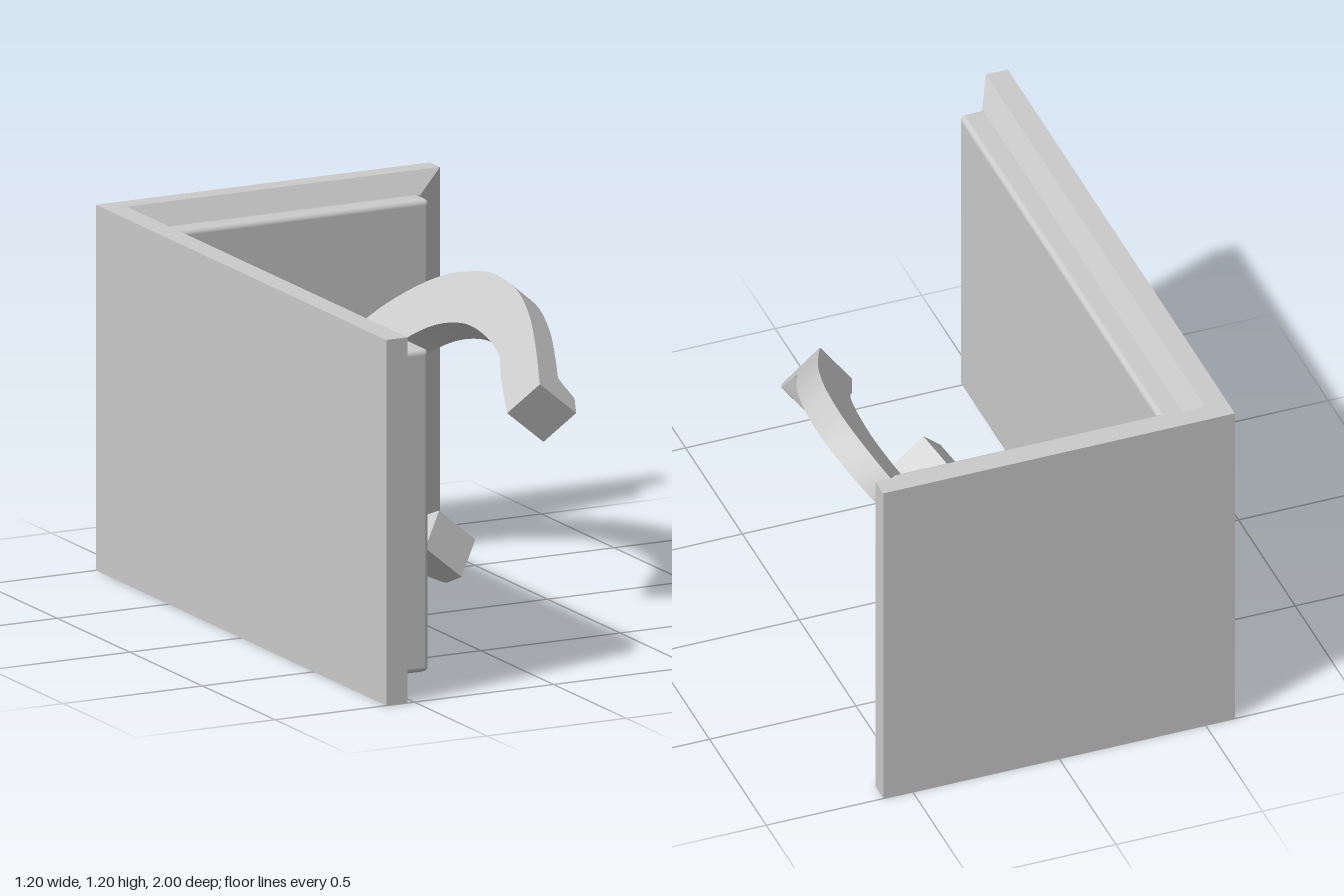
import * as THREE from 'three';
import { toCreasedNormals } from 'three/addons/utils/BufferGeometryUtils.js';
import { RoundedBoxGeometry } from 'three/addons/geometries/RoundedBoxGeometry.js';
import { ConvexGeometry } from 'three/addons/geometries/ConvexGeometry.js';

const grey = new THREE.MeshStandardMaterial({ color: 0xcccccc });

function add(parent, name, geometry) {
  const mesh = new THREE.Mesh(geometry, grey);
  mesh.name = name;
  parent.add(mesh);
  return mesh;
}

// Slab with a bevelled rim; place(a, y, d) maps length, height and depth to space
function bevelledSlab(a0, a1, a1In, depth, bevelDepth, place) {
  const points = [];
  for (const d of [0, depth]) {
    for (const a of [a0, a1]) for (const y of [0, 1.2]) points.push(place(a, y, d));
  }
  for (const a of [a0, a1In]) for (const y of [0.07, 1.13]) points.push(place(a, y, bevelDepth));
  return new ConvexGeometry(points);
}

// Raised panel with soft edges, given by its min and max corners
function panel(parent, name, min, max) {
  const size = max.map((v, i) => v - min[i]);
  const mesh = add(parent, name, new RoundedBoxGeometry(...size, 4, 0.018));
  mesh.position.set(...max.map((v, i) => (v + min[i]) / 2));
}

// Half outlines from toe to heel, mirrored into full curves
function outline(half) {
  const mirrored = half.slice(1).reverse().map(([x, z]) => [-x, z]);
  return new THREE.SplineCurve([...mirrored, ...half].map(([x, z]) => new THREE.Vector2(x, z)));
}

function horseshoeGeometry() {
  const outer = outline([[0, -0.885], [0.27, -0.82], [0.48, -0.62], [0.575, -0.38],
    [0.572, -0.17], [0.518, 0], [0.435, 0.15], [0.32, 0.325]]);
  const inner = outline([[0, -0.65], [0.19, -0.6], [0.33, -0.47], [0.392, -0.31],
    [0.39, -0.15], [0.352, 0], [0.285, 0.1], [0.19, 0.26]]);

  // Stations along the shoe, closer together near the heels
  const half = [];
  for (let i = 1; i <= 60; i++) half.push(i / 10);
  for (let i = 1; i <= 30; i++) half.push(6 + i / 30);
  const stations = [...half.map((q) => -q).reverse(), 0, ...half];

  // Groove profile on the underside: position across, share of the depth
  const groove = [[0.7, 0], [0.66, 0.55], [0.59, 0.92], [0.5, 1], [0.41, 0.92], [0.34, 0.55], [0.3, 0]];
  const positions = [];
  let count = 0;
  for (const station of stations) {
    const q = Math.abs(station);
    const t = (station + 7) / 14;
    const o = outer.getPoint(t);
    const p = inner.getPoint(t);
    const h = 0.096 + 0.074 * THREE.MathUtils.smoothstep(q, 6.4, 6.62);  // heel cleat
    const g = 0.035 * (1 - THREE.MathUtils.smoothstep(q, 6.22, 6.38));   // groove fades out
    const section = [[0, 0], [1, 0], [1, h], ...groove.map(([s, k]) => [s, h - g * k]), [0, h]];
    count = section.length;
    for (const [s, n] of section) {
      const x = p.x + (o.x - p.x) * s;
      let z = p.y + (o.y - p.y) * s;
      // The toe slopes inward toward the underside
      if (z < -0.27) z = -0.27 + (z + 0.27) * (1 - 0.187 * s * n / 0.096);
      positions.push(x, -n, z);
    }
  }

  const index = [];
  for (let i = 0; i < stations.length - 1; i++) {
    for (let j = 0; j < count; j++) {
      const k = (j + 1) % count;
      const a = i * count + j, b = i * count + k;
      index.push(a, a + count, b, b, a + count, b + count);
    }
  }
  // Heel ends
  const last = (stations.length - 1) * count;
  for (let j = 1; j < count - 1; j++) {
    index.push(0, j, j + 1, last, last + j + 1, last + j);
  }
  const geometry = new THREE.BufferGeometry();
  geometry.setAttribute('position', new THREE.Float32BufferAttribute(positions, 3));
  geometry.setIndex(index);
  return toCreasedNormals(geometry, 0.6);
}

export function createModel() {
  const model = new THREE.Group();
  model.name = 'cornerWithHorseshoe';

  // Long side wall and short back wall meeting in a corner
  const sideWall = new THREE.Group();
  sideWall.name = 'sideWall';
  add(sideWall, 'sideSlab', bevelledSlab(-1, 1, 0.92, 0.075, 0.118,
    (a, y, d) => new THREE.Vector3(-0.6 + d, y, a)));
  panel(sideWall, 'sidePanel', [-0.58, 0.07, -0.97], [-0.403, 1.13, 0.92]);

  const backWall = new THREE.Group();
  backWall.name = 'backWall';
  add(backWall, 'backSlab', bevelledSlab(-0.6, 0.6, 0.507, 0.068, 0.113,
    (a, y, d) => new THREE.Vector3(a, y, -1 + d)));
  panel(backWall, 'backPanel', [-0.57, 0.07, -0.98], [0.507, 1.13, -0.82]);

  // Tilted horseshoe with its toe set into the back wall
  const horseshoe = add(model, 'horseshoe', horseshoeGeometry());
  horseshoe.position.set(0.0975, 0.555, 0);
  horseshoe.rotation.z = THREE.MathUtils.degToRad(50);

  model.add(sideWall, backWall);
  return model;
}
